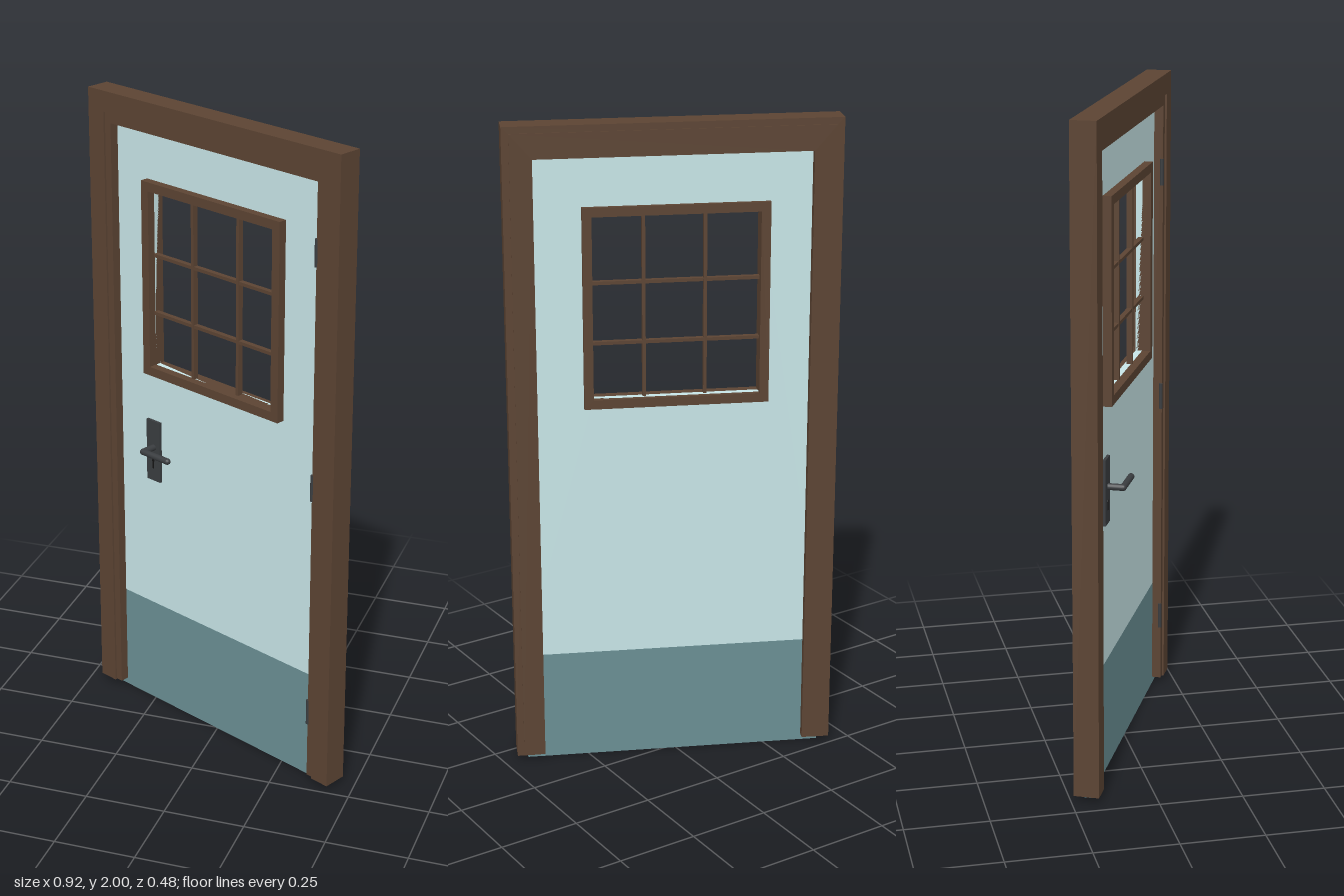
import * as THREE from 'three';

const material = (color) => new THREE.MeshStandardMaterial({ color });
const wood = material(0x5c4433);
const paint = material(0xc8e6e8);
const kickPaint = material(0x6a8f94);
const metal = material(0x3a3d40);
const dark = material(0x141414);

function add(parent, name, geometry, mat, x = 0, y = 0, z = 0) {
  const mesh = new THREE.Mesh(geometry, mat);
  mesh.name = name;
  mesh.position.set(x, y, z);
  parent.add(mesh);
  return mesh;
}

// Box given by its lower and upper corners
function box(parent, name, mat, [x0, y0, z0], [x1, y1, z1]) {
  return add(parent, name, new THREE.BoxGeometry(x1 - x0, y1 - y0, z1 - z0), mat,
    (x0 + x1) / 2, (y0 + y1) / 2, (z0 + z1) / 2);
}

function polygon(points, Type = THREE.Shape) {
  return new Type(points.map(([x, y]) => new THREE.Vector2(x, y)));
}

function rectangle(x0, y0, x1, y1, Type) {
  return polygon([[x0, y0], [x1, y0], [x1, y1], [x0, y1]], Type);
}

function slab(parent, name, mat, shape, z0, z1) {
  const geometry = new THREE.ExtrudeGeometry(shape, { depth: z1 - z0, bevelEnabled: false });
  return add(parent, name, geometry, mat, 0, 0, z0);
}

// Two jambs and a header as one solid
function surround(outer, top, inner, innerTop, bottom) {
  return polygon([
    [-outer, bottom], [-inner, bottom], [-inner, innerTop], [inner, innerTop],
    [inner, bottom], [outer, bottom], [outer, top], [-outer, top],
  ]);
}

export function createModel() {
  const model = new THREE.Group();
  model.name = 'door';

  // The whole door stands turned about the vertical
  const door = new THREE.Group();
  door.name = 'doorAssembly';
  door.rotation.y = -THREE.MathUtils.degToRad(25);
  model.add(door);

  // Frame with a stepped inner stop
  slab(door, 'doorFrame', wood, surround(0.491, 2, 0.428, 1.937, 0.018), -0.038, 0.038);
  slab(door, 'doorStop', wood, surround(0.47, 1.98, 0.405, 1.905, 0.02), -0.041, 0.032);

  // Leaf with the window opening, and the darker lower panel
  const win = { x0: -0.283, x1: 0.266, y0: 1.147, y1: 1.757, rim: 0.028 };
  const opening = [win.x0 + win.rim, win.y0 + win.rim, win.x1 - win.rim, win.y1 - win.rim];
  const leaf = rectangle(-0.457, 0.35, 0.457, 1.95);
  leaf.holes.push(rectangle(...opening, THREE.Path));
  slab(door, 'doorLeaf', paint, leaf, -0.016, 0.004);
  box(door, 'kickPanel', kickPaint, [-0.457, 0, -0.016], [0.457, 0.35, 0.004]);

  // Window rim and glazing bars
  const rim = rectangle(win.x0, win.y0, win.x1, win.y1);
  rim.holes.push(rectangle(...opening, THREE.Path));
  slab(door, 'windowFrame', wood, rim, -0.03, 0.03);
  for (const x of [-0.095, 0.086]) {
    box(door, 'verticalBar', wood, [x - 0.005, opening[1], -0.009], [x + 0.005, opening[3], 0.009]);
  }
  for (const y of [1.343, 1.526]) {
    box(door, 'horizontalBar', wood, [opening[0], y - 0.005, -0.008], [opening[2], y + 0.005, 0.008]);
  }

  // Hinge barrels
  for (const y of [0.24, 0.985, 1.70]) {
    add(door, 'hinge', new THREE.CylinderGeometry(0.006, 0.006, 0.082, 12), metal, 0.403, y, 0.029);
  }

  // Lock plate, keyhole and bent lever
  const handle = new THREE.Group();
  handle.name = 'handle';
  door.add(handle);
  box(handle, 'lockPlate', metal, [-0.291, 0.787, 0.002], [-0.235, 0.988, 0.013]);
  add(handle, 'keyholeTop', new THREE.CylinderGeometry(0.005, 0.005, 0.002, 12), dark, -0.263, 0.855, 0.013)
    .rotation.x = Math.PI / 2;
  box(handle, 'keyholeSlot', dark, [-0.266, 0.828, 0.012], [-0.26, 0.855, 0.014]);
  const stem = new THREE.CylinderGeometry(0.01, 0.01, 0.048, 16);
  add(handle, 'leverStem', stem, metal, -0.261, 0.9, 0.034).rotation.x = Math.PI / 2;
  add(handle, 'leverElbow', new THREE.SphereGeometry(0.01, 16, 12), metal, -0.261, 0.9, 0.058);
  const lever = new THREE.CapsuleGeometry(0.01, 0.104, 4, 16);
  add(handle, 'lever', lever, metal, -0.209, 0.9, 0.058).rotation.z = Math.PI / 2;

  return model;
}
